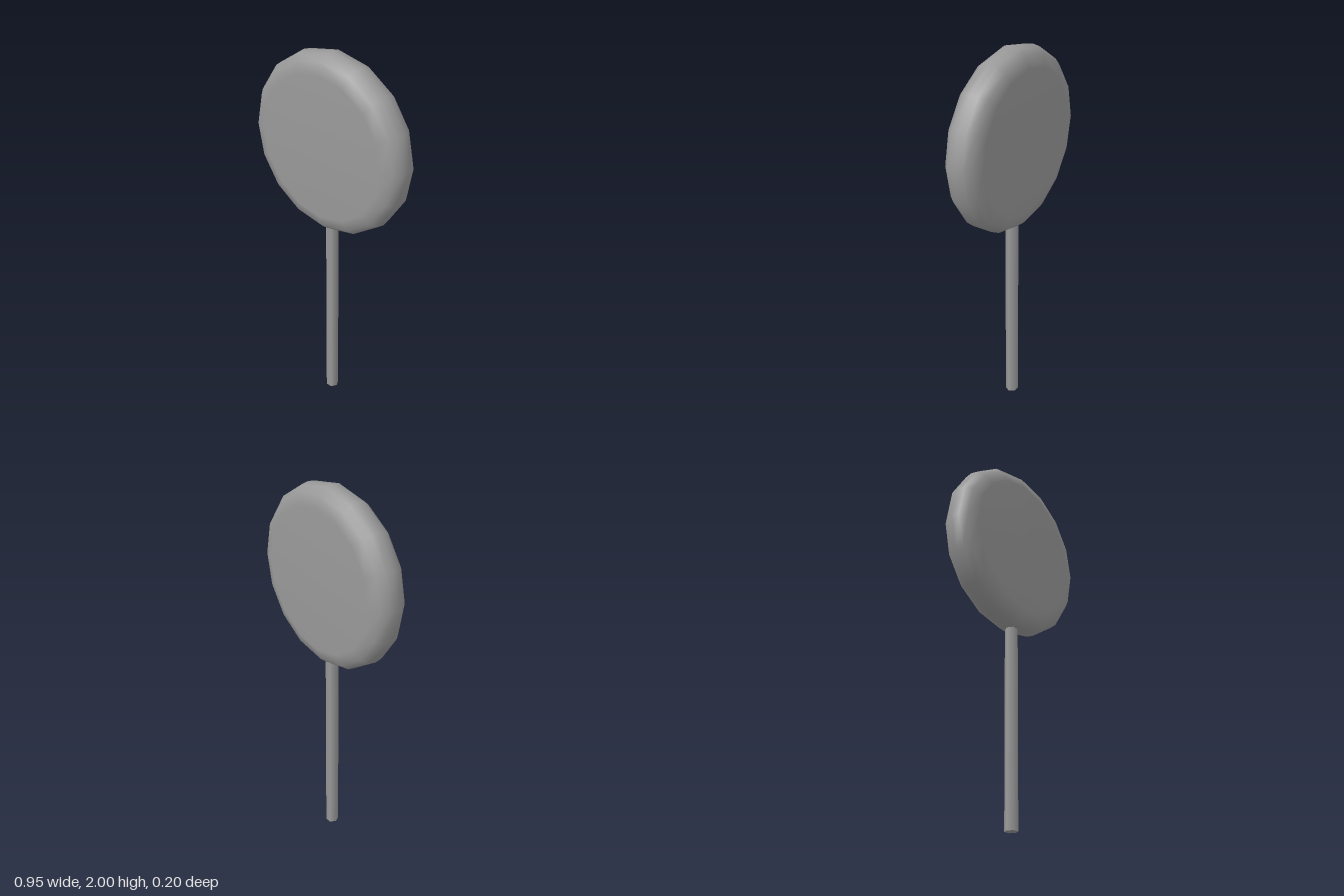
import * as THREE from 'three';

export function createModel() {
  const model = new THREE.Group();
  const material = new THREE.MeshStandardMaterial({ color: 0x999999 });

  // Round head: half profile [radius, depth], mirrored back to front and smoothly shaded
  const half = [[0, 0.098], [0.375, 0.098], [0.437, 0.077], [0.466, 0.042]];
  const profile = [
    ...half.map(([r, d]) => new THREE.Vector2(r, -d)),
    new THREE.Vector2(0.473, 0),
    ...half.map(([r, d]) => new THREE.Vector2(r, d)).reverse(),
  ];
  const head = new THREE.Mesh(new THREE.LatheGeometry(profile, 16).rotateX(Math.PI / 2), material);
  head.name = 'candyHead';
  head.position.y = 1.527;
  model.add(head);

  // Thin six-sided stick, reaching slightly into the head
  const stickHeight = 1.1;
  const stick = new THREE.Mesh(
    new THREE.CylinderGeometry(0.034, 0.034, stickHeight, 6).rotateY(Math.PI / 2),
    material
  );
  stick.name = 'stick';
  stick.position.y = stickHeight / 2;
  model.add(stick);

  return model;
}
